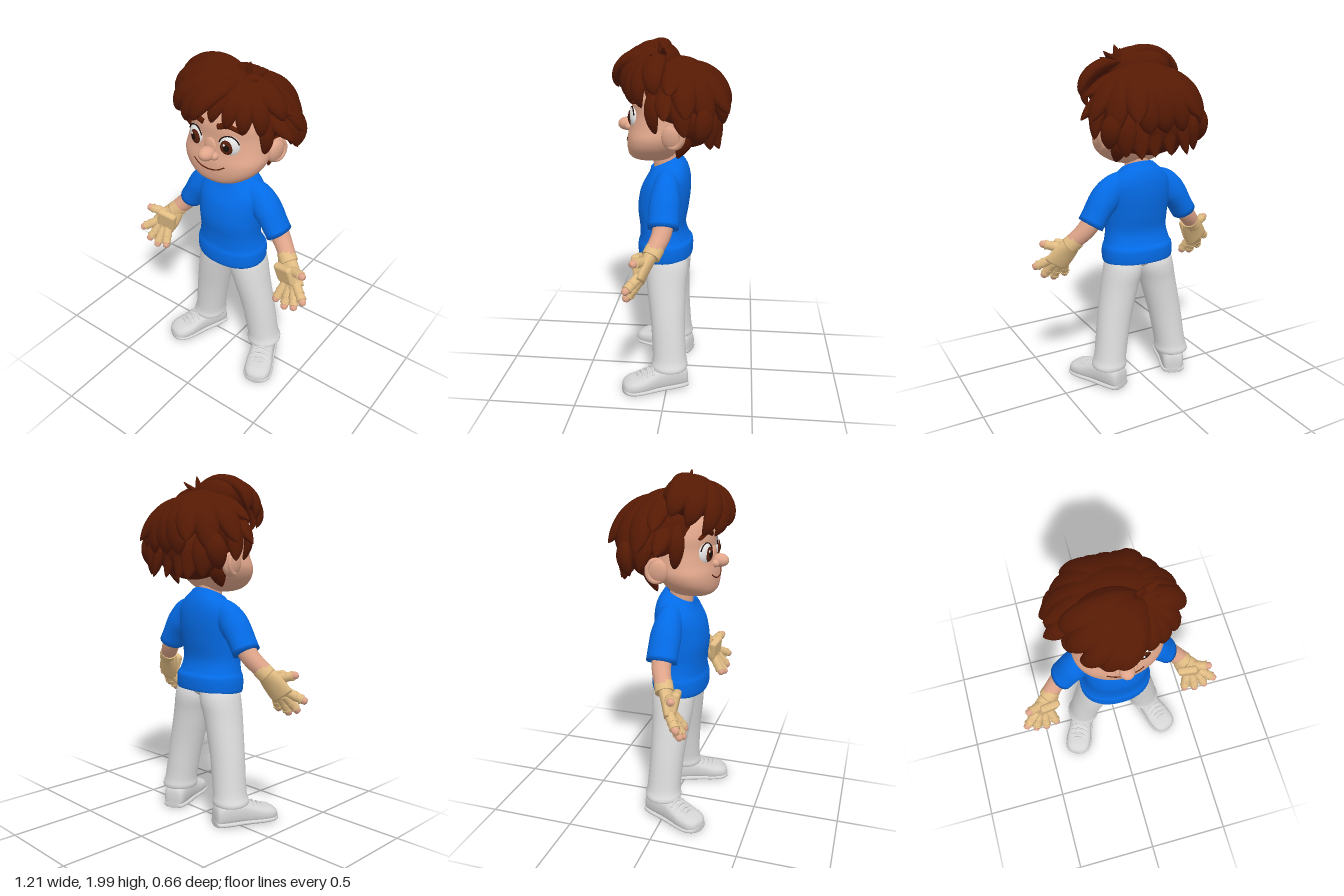
import * as THREE from 'three';
import { RoundedBoxGeometry } from 'three/addons/geometries/RoundedBoxGeometry.js';

const V = (x, y, z) => new THREE.Vector3(x, y, z);
const mat = (name, color) => {
  const m = new THREE.MeshStandardMaterial({ color });
  m.name = name;
  return m;
};

// Closed skin over rings of points that run counter-clockwise about the direction of travel
function skin(rings) {
  const n = rings[0].length, pos = [], idx = [];
  rings.forEach(r => r.forEach(p => pos.push(p.x, p.y, p.z)));
  for (let i = 0; i < rings.length - 1; i++) for (let j = 0; j < n; j++) {
    const a = i * n + j, b = i * n + (j + 1) % n;
    idx.push(a, b, a + n, b, b + n, a + n);
  }
  [0, rings.length - 1].forEach((k, end) => {
    const c = rings[k].reduce((s, p) => s.add(p), V(0, 0, 0)).divideScalar(n), ci = pos.length / 3;
    pos.push(c.x, c.y, c.z);
    for (let j = 0; j < n; j++) {
      const a = k * n + j, b = k * n + (j + 1) % n;
      end ? idx.push(ci, a, b) : idx.push(ci, b, a);
    }
  });
  const g = new THREE.BufferGeometry();
  g.setAttribute('position', new THREE.Float32BufferAttribute(pos, 3));
  g.setIndex(idx);
  g.computeVertexNormals();
  return g;
}

// Catmull-Rom refinement of rows of numbers
function smooth(rows, k = 5) {
  const out = [], at = i => rows[Math.max(0, Math.min(rows.length - 1, i))];
  for (let i = 0; i < rows.length - 1; i++) for (let s = 0; s < k; s++) {
    const t = s / k;
    out.push(rows[i].map((b, c) => {
      const a = at(i - 1)[c], d = at(i + 1)[c], e = at(i + 2)[c];
      return b + 0.5 * t * (d - a + t * (2 * a - 5 * b + 4 * d - e + t * (3 * (b - d) + e - a)));
    }));
  }
  out.push(rows[rows.length - 1]);
  return out;
}

// Upright body: rows of [y, half width, front z, back z, forward tilt, centre x]
function upright(rows, power = 2, n = 36) {
  const f = v => Math.sign(v) * Math.pow(Math.abs(v), 2 / power);
  return skin(smooth(rows).map(([y, rx, zf, zb, tilt, cx]) => Array.from({ length: n }, (_, j) => {
    const a = j / n * Math.PI * 2, dz = f(Math.cos(a)) * (zf - zb) / 2;
    return V(cx + f(Math.sin(a)) * rx, y - tilt * dz, (zf + zb) / 2 + dz);
  })));
}

// Sweep of an ellipse; width(t), thick(t), and normal(p) is the thickness direction
function sweep(pts, width, thick, normal, steps = 14, n = 12) {
  const curve = new THREE.CatmullRomCurve3(pts), rings = [];
  for (let i = 0; i <= steps; i++) {
    const t = i / steps, p = curve.getPoint(t), T = curve.getTangent(t);
    const N = normal(p).clone().addScaledVector(T, -normal(p).dot(T)).normalize();
    const S = N.clone().cross(T);
    rings.push(Array.from({ length: n }, (_, j) => {
      const a = j / n * Math.PI * 2;
      return p.clone().addScaledVector(S, Math.cos(a) * width(t)).addScaledVector(N, Math.sin(a) * thick(t));
    }));
  }
  return skin(rings);
}
const front = () => V(0.05, 0.1, 1);
const tube = (pts, r0, r1 = r0) => {
  const r = t => r0 + (r1 - r0) * t;
  return sweep(pts, r, r, front);
};
// Round-ended limb
const capsule = (a, b, r) => {
  const f = t => r * Math.sqrt(Math.max(0, 1 - Math.pow(2 * t - 1, 8)));
  return sweep([a, b], f, f, front, 18);
};

export function createModel() {
  const model = new THREE.Group();
  const skinM = mat('skin', 0xe0a68b), hairM = mat('hair', 0x561a04), shirtM = mat('shirt', 0x046dea);
  const greyM = mat('trousers', 0xdedede), shoeM = mat('shoes', 0xd4d4d4), gloveM = mat('gloves', 0xe2bd84);
  const whiteM = mat('eye white', 0xf0f0f0), irisM = mat('iris', 0x56200e), darkM = mat('dark line', 0x1c0e0a);
  const add = (name, geo, m, parent = model) => {
    const o = new THREE.Mesh(geo, m);
    o.name = name;
    parent.add(o);
    return o;
  };
  const ball = (name, m, p, s, parent = model) => {
    const o = add(name, new THREE.SphereGeometry(1, 28, 20), m, parent);
    o.position.set(...p);
    o.scale.set(...s);
    return o;
  };

  // Head and neck
  add('head', upright([
    [1.328, 0.02, 0.14, 0.08, 0, 0], [1.335, 0.09, 0.195, 0.02, 0, 0], [1.36, 0.155, 0.232, -0.02, 0, 0],
    [1.41, 0.215, 0.243, -0.06, 0, 0], [1.47, 0.242, 0.24, -0.1, 0, 0], [1.53, 0.235, 0.225, -0.14, 0, 0],
    [1.6, 0.225, 0.215, -0.18, 0, 0], [1.68, 0.22, 0.21, -0.2, 0, 0], [1.76, 0.18, 0.17, -0.17, 0, 0],
    [1.82, 0.06, 0.06, -0.06, 0, 0]], 2.3, 48), skinM);
  add('neck', tube([V(0, 1.22, 0.02), V(0, 1.3, 0.03), V(0, 1.4, 0.04)], 0.072, 0.068), skinM);

  // Face
  ball('noseTip', skinM, [0, 1.525, 0.25], [0.042, 0.037, 0.05]);
  ball('noseBridge', skinM, [0, 1.55, 0.214], [0.04, 0.055, 0.016]);
  add('mouth', tube([V(-0.098, 1.464, 0.231), V(-0.055, 1.441, 0.241), V(0, 1.433, 0.244), V(0.055, 1.441, 0.241), V(0.098, 1.464, 0.231)], 0.0036), irisM);
  for (const s of [1, -1]) {
    ball('nostril', skinM, [s * 0.035, 1.514, 0.232], [0.024, 0.022, 0.025]);
    const eye = new THREE.Group();
    eye.name = 'eye';
    eye.position.set(s * 0.105, 1.58, 0.19);
    eye.rotation.y = s * 0.3;
    model.add(eye);
    ball('eyeWhite', whiteM, [0, 0, 0], [0.056, 0.06, 0.03], eye);
    ball('iris', irisM, [-s * 0.009, -0.003, 0.02], [0.037, 0.041, 0.014], eye);
    ball('pupil', darkM, [-s * 0.009, -0.003, 0.03], [0.018, 0.02, 0.006], eye);
    ball('eyeGlint', whiteM, [-s * 0.009 - 0.012, 0.014, 0.033], [0.006, 0.007, 0.004], eye);
    const lash = add('upperLash', new THREE.TorusGeometry(0.057, 0.0035, 8, 24, 2.5), darkM, eye);
    lash.position.z = 0.012;
    lash.rotation.z = 0.32;
    add('eyebrow', sweep([V(s * 0.048, 1.68, 0.214), V(s * 0.105, 1.696, 0.206), V(s * 0.168, 1.666, 0.18)],
      t => 0.016 * Math.sqrt(1 - 0.8 * t * t), () => 0.011, front), hairM);
    const ear = ball('ear', skinM, [s * 0.238, 1.497, -0.035], [0.034, 0.072, 0.064]);
    ear.rotation.z = -s * 0.15;
    const rim = add('earRim', new THREE.TorusGeometry(0.047, 0.013, 10, 24), skinM);
    rim.position.set(s * 0.25, 1.502, -0.035);
    rim.rotation.set(0, s * 1.25, 0);
    rim.scale.y = 1.2;
  }

  // Hair mass under the locks
  ball('hairCap', hairM, [0, 1.69, -0.04], [0.275, 0.21, 0.215]);
  ball('hairBack', hairM, [0, 1.575, -0.105], [0.245, 0.17, 0.165]);
  ball('hairQuiff', hairM, [-0.04, 1.865, 0.09], [0.19, 0.115, 0.14]);

  // Hair locks, each arching over the scalp from root to a pointed, flicked-out tip
  const C = V(0, 1.66, -0.03), E = V(0.29, 0.22, 0.27);
  const lock = (root, tip, w, bulge = 0.1) => {
    const a = V(...root).sub(C).divide(E), b = V(...tip).sub(C).divide(E), pts = [];
    for (let i = 0; i <= 6; i++) {
      const t = i / 6, r = a.length() + (b.length() - a.length()) * t * t + bulge * Math.sin(Math.PI * t);
      pts.push(a.clone().lerp(b, t).setLength(r).multiply(E).add(C));
    }
    const f = t => (0.5 + 0.5 * Math.sin(Math.min(1, t * 2) * Math.PI / 2)) * Math.pow(Math.max(0, 1 - t * t * t), 0.78);
    add('hairLock', sweep(pts, t => w * f(t), t => w * 0.6 * f(t), p => p.clone().sub(C).divide(E), 18, 14), hairM);
  };
  const part = [0.09, 1.9, 0.05], crown = [0.03, 1.84, -0.04];
  // Fringe
  [[-0.27, 1.79, 0.05, 0.085, 0.2], [-0.25, 1.74, 0.13, 0.08, 0.23], [-0.2, 1.69, 0.2, 0.07, 0.24],
    [-0.12, 1.675, 0.245, 0.064, 0.23], [-0.05, 1.72, 0.3, 0.07, 0.2], [0.03, 1.71, 0.25, 0.054, 0.13],
    [0.11, 1.69, 0.23, 0.056, 0.1], [0.18, 1.66, 0.19, 0.058, 0.09], [0.25, 1.65, 0.13, 0.06, 0.1],
    [0.335, 1.73, 0.05, 0.07, 0.1]].forEach(([x, y, z, w, b]) => lock(part, [x, y, z], w, b));
  // Tuft at the parting
  [[0.13, 1.99, 0.05], [0.21, 1.96, 0.02], [0.08, 1.97, 0.08], [0.2, 1.925, 0.09]]
    .forEach(t => lock([0.1, 1.89, 0.05], t, 0.028, 0.04));
  // Back and sides
  lock(crown, [0, 1.55, -0.29], 0.085, 0.03);
  for (const s of [1, -1]) {
    [[0.1, 1.55, -0.295, 0.08], [0.19, 1.62, -0.325, 0.08], [0.27, 1.56, -0.22, 0.08],
      [0.355, 1.61, -0.11, 0.08], [0.345, 1.73, -0.02, 0.07]]
      .forEach(([x, y, z, w]) => lock(crown, [s * x, y, z], w, 0.05));
    [[0.05, 1.42, -0.26, 0.06], [0.14, 1.42, -0.275, 0.065], [0.21, 1.43, -0.23, 0.065], [0.28, 1.47, -0.17, 0.06]]
      .forEach(([x, y, z, w]) => lock([s * x * 0.9, 1.66, -0.2], [s * x, y, z], w, 0.1));
    lock([s * 0.25, 1.73, -0.06], [s * 0.33, 1.515, -0.1], 0.058, 0.06);
    lock([s * 0.23, 1.73, 0.02], [s * 0.36, 1.605, 0.0], 0.052, 0.05);
    lock([s * 0.21, 1.74, 0.07], [s * 0.23, 1.51, 0.06], 0.044, 0.04);
    lock([s * 0.19, 1.5, -0.12], [s * 0.18, 1.37, -0.05], 0.048, 0.06);
  }

  // Shirt
  add('shirtBody', upright([
    [0.8, 0.195, 0.165, -0.11, 0, 0], [0.762, 0.207, 0.178, -0.122, 0.06, 0], [0.785, 0.215, 0.19, -0.128, 0.05, 0],
    [0.845, 0.214, 0.19, -0.126, 0.03, 0], [0.88, 0.2, 0.18, -0.105, 0, 0], [0.95, 0.187, 0.18, -0.085, 0, 0],
    [1.05, 0.19, 0.19, -0.1, 0, 0], [1.15, 0.195, 0.175, -0.112, 0, 0], [1.22, 0.192, 0.15, -0.11, 0.1, 0],
    [1.27, 0.16, 0.128, -0.095, 0.22, 0], [1.305, 0.115, 0.117, -0.07, 0.36, 0], [1.322, 0.09, 0.115, -0.055, 0.45, 0],
    [1.312, 0.082, 0.108, -0.047, 0.45, 0], [1.26, 0.066, 0.085, -0.04, 0.3, 0]], 2.2), shirtM);

  for (const s of [1, -1]) {
    const P = (x, y, z) => V(s * x, y, z);
    // Sleeve
    const sr = t => 0.068 + 0.018 * Math.sin(Math.PI * Math.min(1, t * 1.2));
    add('sleeve', sweep([P(0.06, 1.235, 0.012), P(0.16, 1.2, 0.012), P(0.235, 1.13, 0.012), P(0.31, 1.013, 0.012)],
      t => sr(t) + 0.003, t => 0.06 + 0.026 * Math.min(1, t * 1.6), front, 16, 20), shirtM);
    add('forearm', tube([P(0.28, 1.06, 0.01), P(0.335, 0.985, 0.02), P(0.41, 0.905, 0.06)], 0.06, 0.047), skinM);

    // Glove
    add('gloveCuff', tube([P(0.38, 0.93, 0.045), P(0.42, 0.89, 0.067)], 0.052), gloveM);
    add('glovePalm', sweep([P(0.395, 0.915, 0.06), P(0.435, 0.85, 0.09), P(0.485, 0.775, 0.12)],
      t => 0.05 + 0.027 * Math.sin(Math.PI * 0.6 * t), t => 0.042 - 0.014 * t, front), gloveM);
    const pad = add('palmPad', new RoundedBoxGeometry(0.12, 0.122, 0.045, 3, 0.018), gloveM);
    pad.position.set(s * 0.432, 0.85, 0.127);
    pad.rotation.set(0.2, -s * 0.15, s * 0.25);

    // Fingers: glove sleeve, knuckle bands and bare tip
    [[[0.505, 0.81, 0.12], [0.6, 0.75, 0.19]], [[0.495, 0.785, 0.122], [0.54, 0.682, 0.195]],
      [[0.465, 0.775, 0.12], [0.475, 0.658, 0.195]], [[0.435, 0.785, 0.115], [0.405, 0.674, 0.185]],
      [[0.455, 0.875, 0.1], [0.568, 0.906, 0.15]]].forEach(([a, b]) => {
      const A = P(...a), B = P(...b), at = t => A.clone().lerp(B, t);
      add('fingerTip', capsule(A, B, 0.022), skinM);
      add('gloveFinger', tube([A, at(0.75)], 0.028, 0.025), gloveM);
      for (const t of [0.42, 0.7]) add('fingerBand', tube([at(t - 0.04), at(t + 0.04)], 0.0285), gloveM);
    });

    // Trouser leg
    add('trouserLeg', upright([
      [0.15, 0.08, 0.07, -0.09, 0, s * 0.218], [0.122, 0.095, 0.088, -0.11, 0, s * 0.219],
      [0.14, 0.102, 0.095, -0.118, 0, s * 0.217], [0.2, 0.094, 0.088, -0.108, 0, s * 0.207],
      [0.4, 0.1, 0.102, -0.098, 0, s * 0.175], [0.6, 0.108, 0.128, -0.1, 0, s * 0.132],
      [0.7, 0.114, 0.138, -0.108, 0, s * 0.108], [0.76, 0.108, 0.135, -0.102, 0, s * 0.1],
      [0.83, 0.09, 0.11, -0.075, 0, s * 0.09]], 2.1, 28), greyM);

    // Shoe, turned outwards
    const shoe = new THREE.Group();
    shoe.name = 'shoe';
    shoe.position.set(s * 0.246, 0, 0.042);
    shoe.rotation.y = s * 0.4;
    model.add(shoe);
    const rows = smooth([[-0.165, 0.025, 0.06], [-0.152, 0.058, 0.12], [-0.09, 0.07, 0.15], [0, 0.072, 0.14],
      [0.06, 0.077, 0.12], [0.12, 0.083, 0.097], [0.18, 0.077, 0.083], [0.215, 0.05, 0.062], [0.225, 0.012, 0.04]], 4);
    const along = (grow, h) => skin(rows.map(([z, w, top]) => Array.from({ length: 24 }, (_, j) => {
      const a = j / 24 * Math.PI * 2, y = Math.sin(a), x = Math.cos(a), H = h || top;
      const q = v => Math.sign(v) * Math.pow(Math.abs(v), 0.75);
      return V(q(x) * (w + grow), H / 2 + q(y) * H / 2, z * (1 + grow));
    })));
    add('shoeUpper', along(0, 0), shoeM, shoe);
    add('shoeSole', along(0.006, 0.034), shoeM, shoe);
    [[0.045, 0.131], [0.075, 0.119], [0.105, 0.107], [0.13, 0.097]].forEach(([z, y]) =>
      add('shoeLace', tube([V(-0.055, y - 0.022, z + 0.008), V(0, y, z), V(0.055, y - 0.022, z + 0.008)], 0.007), shoeM, shoe));
  }
  ball('hips', greyM, [0, 0.82, 0.018], [0.13, 0.11, 0.12]);
  return model;
}
